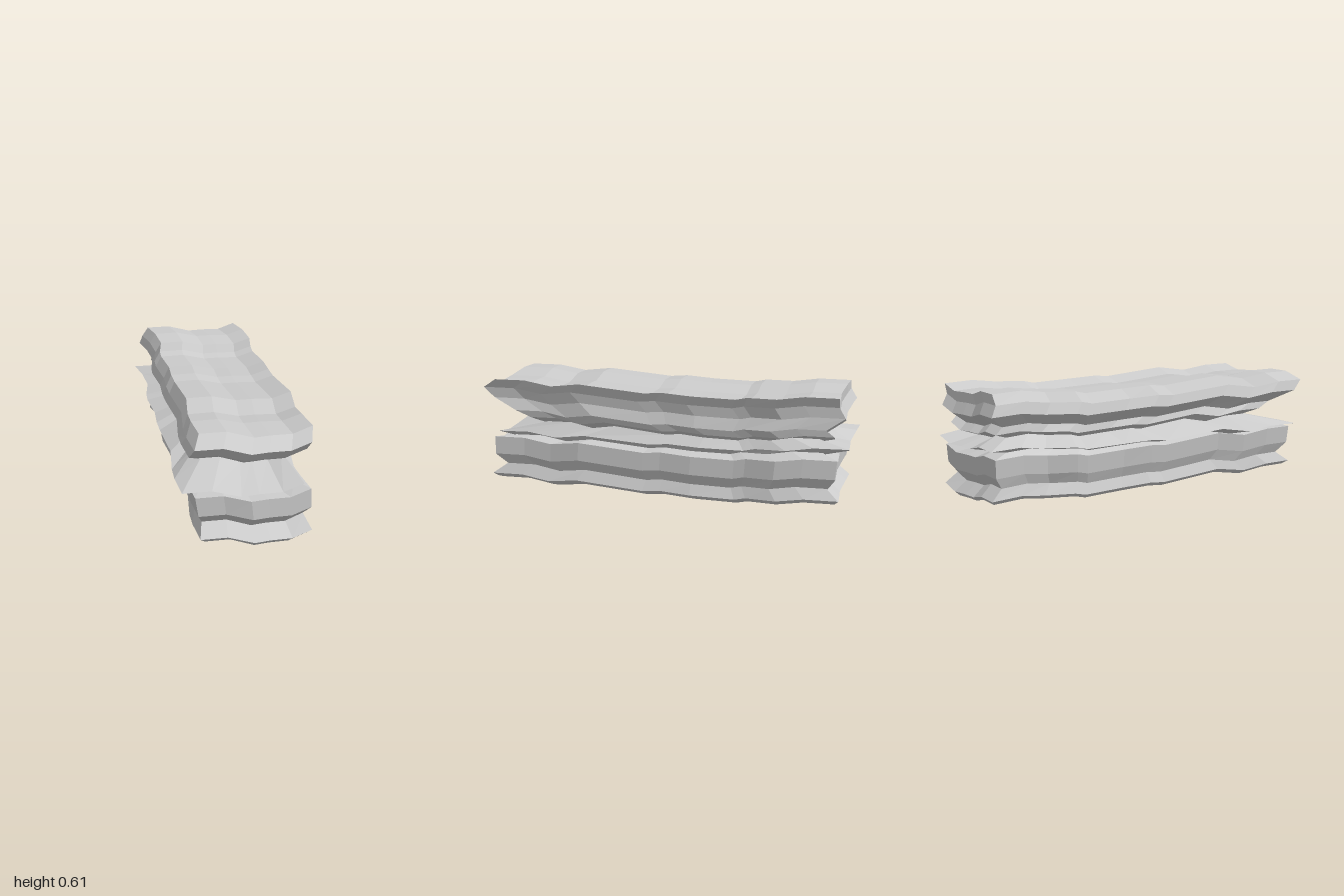
import * as THREE from 'three';

// Strata from bottom to top: [height, left x, right x, front z, back z, drop towards the front]
const STRATA = [
  [0.00, -0.205, 0.285, 0.90, -0.93, 0],
  [0.02, -0.23, 0.31, 0.92, -0.95, 0],
  [0.075, -0.21, 0.285, 0.84, -0.89, 0],
  [0.13, -0.235, 0.31, 0.90, -0.93, 0],
  [0.225, -0.25, 0.305, 0.90, -0.94, 0],
  [0.25, -0.21, 0.25, 0.80, -0.86, 0.02],
  [0.28, -0.31, 0.275, 0.89, -0.99, 0.03],
  [0.315, -0.17, 0.23, 0.62, -0.84, 0.005],
  [0.34, -0.22, 0.285, 0.70, -0.92, 0],
  [0.375, -0.21, 0.295, 0.78, -0.88, 0],
  [0.435, -0.28, 0.275, 0.91, -0.97, 0],
  [0.49, -0.265, 0.28, 0.97, -0.94, 0],
  [0.54, -0.23, 0.305, 0.89, -0.94, 0],
];

// Across the width: [position 0..1, rise, bulge of the end faces]
const ACROSS = [
  [0, 0.03, 0], [0.24, 0.032, 0.005], [0.47, 0.003, 0.03],
  [0.62, 0.004, 0.02], [0.82, 0, 0.01], [1, 0.03, 0],
];

// Along the length, back to front: [position 0..1, rise, sideways sway]
const ALONG = [
  [0, 0.032, 0], [0.085, 0.036, 0.022], [0.16, 0.018, 0.035],
  [0.245, 0.013, 0.005], [0.277, 0, 0.003], [0.40, 0.006, 0.012],
  [0.49, 0.014, -0.002], [0.54, 0.006, 0], [0.735, 0.035, 0],
  [0.825, 0.012, -0.022], [0.91, 0.034, -0.035], [1, 0.034, -0.028],
];

export function createModel() {
  const nx = ACROSS.length - 1, ny = STRATA.length - 1, nz = ALONG.length - 1;
  const geometry = new THREE.BoxGeometry(nx, ny, nz, nx, ny, nz);
  const p = geometry.attributes.position;

  // Move every grid point of the block onto its stratum, station and wave
  for (let n = 0; n < p.count; n++) {
    const i = Math.round(p.getX(n) + nx / 2);
    const j = Math.round(p.getY(n) + ny / 2);
    const k = Math.round(p.getZ(n) + nz / 2);
    const [height, left, right, front, back, drop] = STRATA[j];
    const [u, riseX, bulge] = ACROSS[i];
    const [w, riseZ, sway] = ALONG[k];
    const endBulge = k === nz ? bulge : k === 0 ? bulge * 0.7 - 0.01 : 0;
    p.setXYZ(
      n,
      THREE.MathUtils.lerp(left, right, u) + sway,
      height + riseX + riseZ - drop * w,
      THREE.MathUtils.lerp(back, front, w) + endBulge,
    );
  }
  geometry.computeVertexNormals();

  const rock = new THREE.Mesh(
    geometry,
    new THREE.MeshStandardMaterial({ color: 0xcccccc, flatShading: true }),
  );
  rock.name = 'layeredRock';

  const group = new THREE.Group();
  group.name = 'rockLedge';
  group.add(rock);
  return group;
}
